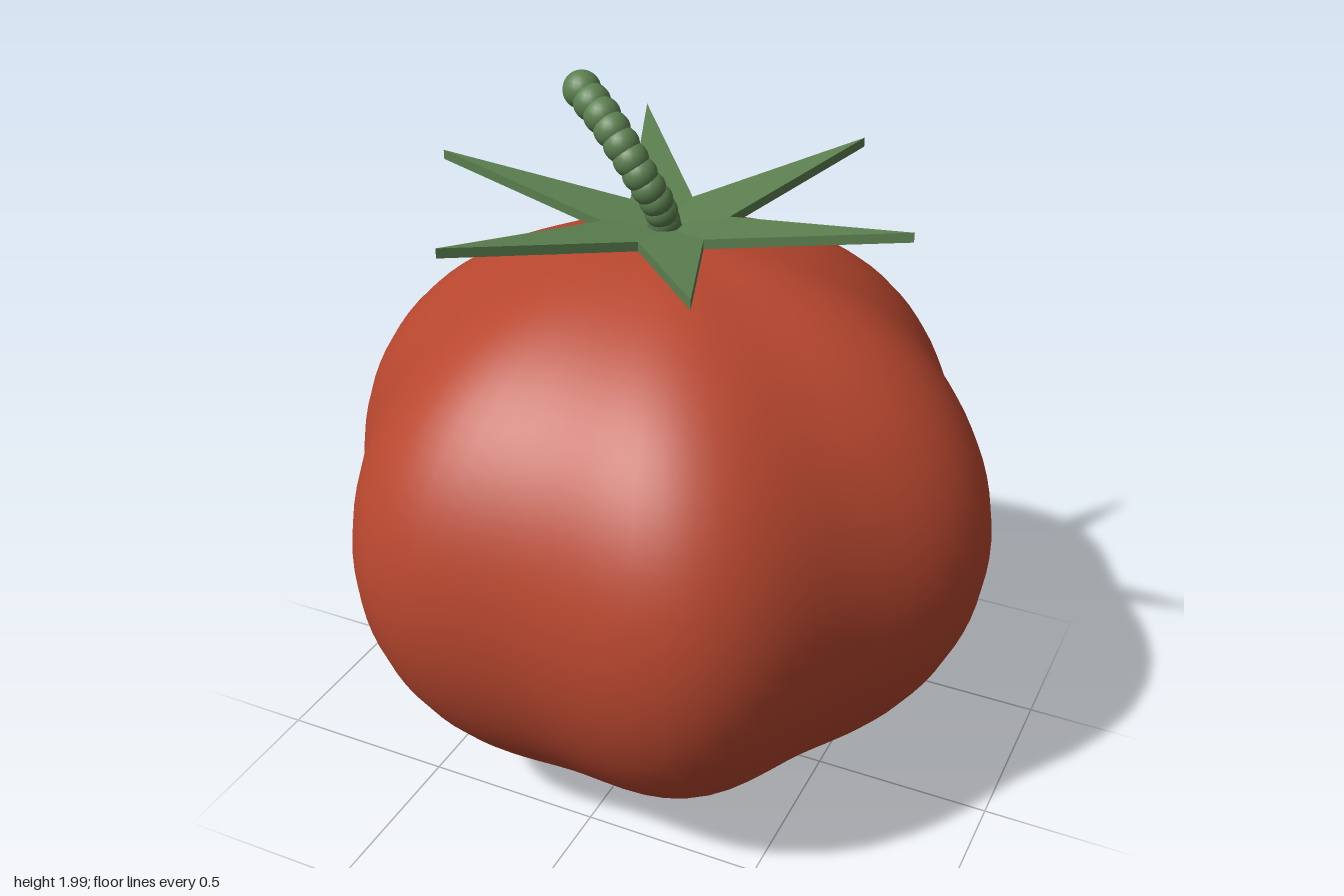
import * as THREE from 'three';
import { mergeVertices } from 'three/addons/utils/BufferGeometryUtils.js';

const fruitRed = new THREE.MeshStandardMaterial({ color: 0xb8472f });
fruitRed.name = 'fruitRed';
const leafGreen = new THREE.MeshStandardMaterial({ color: 0x5c8050 });
leafGreen.name = 'leafGreen';

// Squashed sphere with six soft lobes, slightly fuller above the middle
function makeFruit() {
  let geo = new THREE.SphereGeometry(1, 72, 48);
  geo.deleteAttribute('uv');
  geo.deleteAttribute('normal');
  geo = mergeVertices(geo, 1e-4);
  const p = geo.attributes.position;
  for (let i = 0; i < p.count; i++) {
    const x = p.getX(i), y = p.getY(i), z = p.getZ(i);
    const r = (0.883 + 0.041 * Math.cos(6 * Math.atan2(z, x))) * (1 + 0.035 * y);
    p.setXYZ(i, x * r, 0.8 + 0.79 * y, z * r);
  }
  geo.computeVertexNormals();
  const fruit = new THREE.Mesh(geo, fruitRed);
  fruit.name = 'fruit';
  return fruit;
}

// Six thin kite-shaped sepals meeting in a star, tips tilted upward
function makeCalyx() {
  const calyx = new THREE.Group();
  calyx.name = 'calyx';
  const kite = new THREE.Shape([
    new THREE.Vector2(0, 0), new THREE.Vector2(0.143, -0.083),
    new THREE.Vector2(0.665, 0), new THREE.Vector2(0.143, 0.083),
  ]);
  const geo = new THREE.ExtrudeGeometry(kite, { depth: 0.026, bevelEnabled: false });
  geo.rotateX(-Math.PI / 2);
  const p = geo.attributes.position;
  for (let i = 0; i < p.count; i++) p.setY(i, p.getY(i) + 1.59 + 0.157 * p.getX(i));
  geo.computeVertexNormals();
  for (let i = 0; i < 6; i++) {
    const sepal = new THREE.Mesh(geo, leafGreen);
    sepal.name = 'sepal';
    sepal.rotation.y = (i * Math.PI) / 3;
    calyx.add(sepal);
  }
  return calyx;
}

// Curved stem of overlapping beads, widening to the tip
function makeStem() {
  const stem = new THREE.Group();
  stem.name = 'stem';
  const path = new THREE.CatmullRomCurve3([
    [0, 1.61, 0], [-0.005, 1.69, 0.035], [-0.035, 1.76, 0.06],
    [-0.085, 1.83, 0.06], [-0.15, 1.895, 0.04], [-0.237, 1.95, 0],
  ].map((v) => new THREE.Vector3(...v)));
  const count = 12;
  const bead = new THREE.SphereGeometry(1, 20, 14);
  for (let i = 0; i < count; i++) {
    const t = i / (count - 1);
    const mesh = new THREE.Mesh(bead, leafGreen);
    mesh.name = 'stemBead';
    mesh.position.copy(path.getPointAt(Math.pow(t, 1.15)));
    mesh.scale.setScalar(0.043 + 0.007 * t);
    stem.add(mesh);
  }
  return stem;
}

export function createModel() {
  const model = new THREE.Group();
  model.name = 'tomato';
  model.add(makeFruit(), makeCalyx(), makeStem());
  return model;
}
